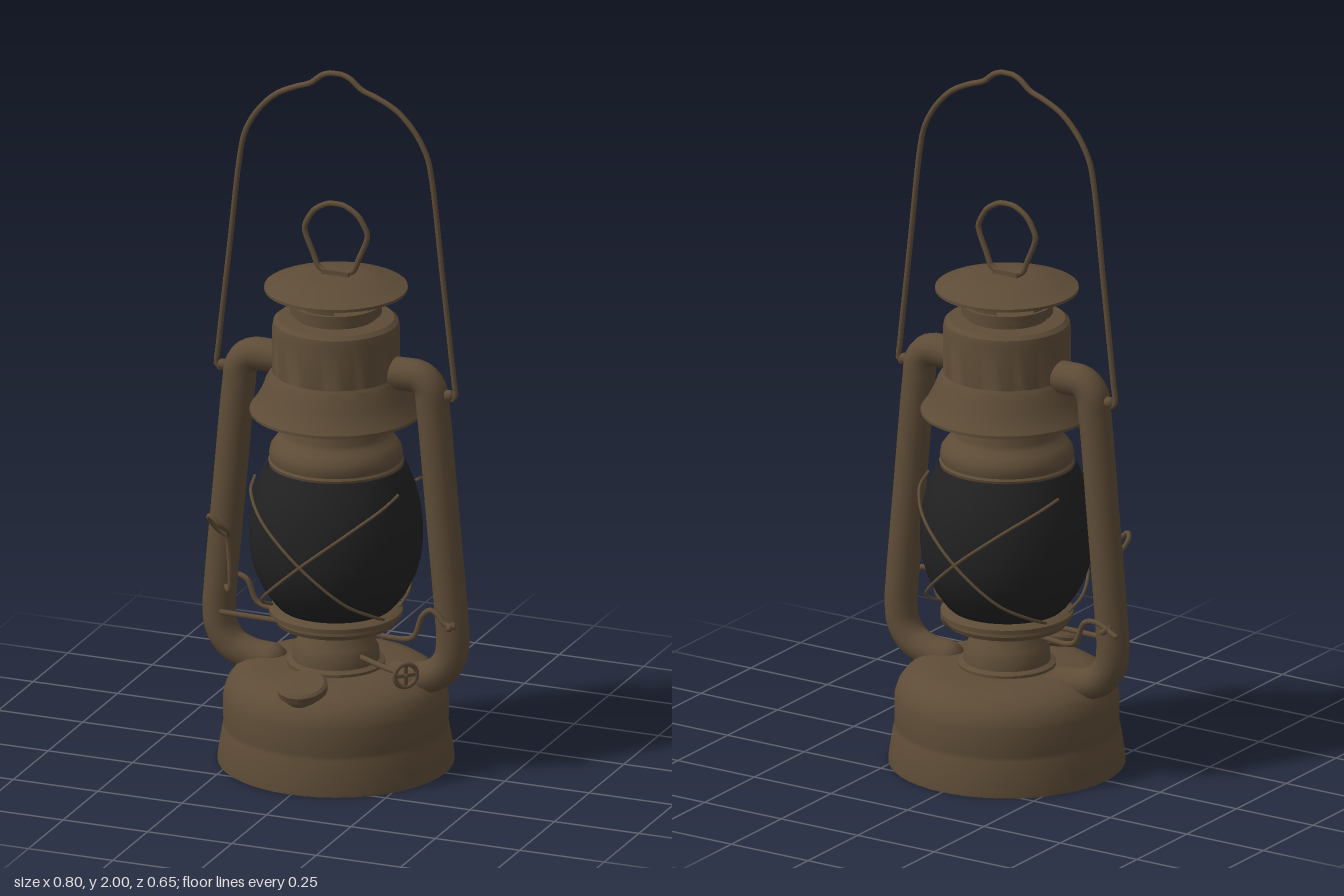
import * as THREE from 'three';
import { toCreasedNormals } from 'three/addons/utils/BufferGeometryUtils.js';

export function createModel() {
  const group = new THREE.Group();
  const metal = new THREE.MeshStandardMaterial({ color: 0x5e4c37, side: THREE.DoubleSide });
  metal.name = 'brown metal';
  const glass = new THREE.MeshStandardMaterial({ color: 0x222222 });
  glass.name = 'smoked glass';

  function add(name, geometry, material = metal, parent = group) {
    const mesh = new THREE.Mesh(geometry, material);
    mesh.name = name;
    parent.add(mesh);
    return mesh;
  }

  // Turned part from [radius, height] pairs, listed from the bottom up on the outside
  function turned(name, profile, material, parent, crease = 0.6) {
    const points = profile.map(([r, y]) => new THREE.Vector2(r, y));
    return add(name, toCreasedNormals(new THREE.LatheGeometry(points, 48), crease), material, parent);
  }

  // Bent round bar with rounded ends
  function bar(name, path, radius, steps = 48, sides = 8, parent = group) {
    const points = path.map((p) => new THREE.Vector3(...p));
    const curve = new THREE.CatmullRomCurve3(points, false, 'centripetal');
    add(name, new THREE.TubeGeometry(curve, steps, radius, sides), metal, parent);
    for (const end of [points[0], points[points.length - 1]]) {
      add(name + 'End', new THREE.SphereGeometry(radius, sides, 6), metal, parent).position.copy(end);
    }
  }

  // Fuel tank with a slightly hollow underside
  turned('fuelTank', [
    [0, 0.02], [0.31, 0.006], [0.315, 0], [0.325, 0], [0.325, 0.012], [0.318, 0.06], [0.311, 0.1],
    [0.307, 0.112], [0.309, 0.12], [0.309, 0.19], [0.305, 0.205], [0.298, 0.225], [0.28, 0.248],
    [0.25, 0.267], [0.21, 0.277], [0.15, 0.28], [0, 0.282],
  ]);

  // Burner cone and plate beneath the globe
  turned('burnerCone', [
    [0.135, 0.275], [0.135, 0.288], [0.12, 0.295], [0.118, 0.325], [0.108, 0.345], [0.09, 0.375],
    [0.082, 0.4], [0.082, 0.42],
  ]);
  turned('burnerPlate', [
    [0.07, 0.4], [0.165, 0.4], [0.17, 0.412], [0.168, 0.42], [0.183, 0.425], [0.183, 0.437],
    [0.165, 0.447], [0, 0.447],
  ]);

  // Globe
  turned('globe', [
    [0.15, 0.44], [0.17, 0.46], [0.198, 0.5], [0.22, 0.545], [0.233, 0.59], [0.239, 0.64],
    [0.238, 0.69], [0.232, 0.74], [0.22, 0.79], [0.203, 0.835], [0.19, 0.865],
  ], glass);

  // Collar above the globe
  turned('globeCollar', [
    [0, 0.858], [0.183, 0.858], [0.186, 0.87], [0.181, 0.876], [0.184, 0.89], [0.18, 0.91],
    [0.165, 0.93], [0.148, 0.943], [0.142, 0.955], [0.142, 1.1],
  ]);

  // Flared hood, closed inside above the skirt
  turned('hood', [
    [0.142, 1.1], [0.168, 1.1], [0.19, 1.07], [0.215, 1.035], [0.232, 1.012], [0.237, 1.012],
    [0.237, 1.02], [0.222, 1.04], [0.203, 1.075], [0.192, 1.105], [0.182, 1.122], [0.176, 1.13],
    [0.176, 1.255], [0.172, 1.274], [0.16, 1.284], [0.125, 1.287], [0, 1.287],
  ]);

  // Vented chimney: lower band, four posts and the cap
  turned('chimneyBand', [[0.112, 1.285], [0.112, 1.295], [0.126, 1.3], [0.126, 1.328], [0.118, 1.33], [0, 1.3]]);
  for (let i = 0; i < 4; i++) {
    add('chimneyPost', new THREE.CylinderGeometry(0.12, 0.12, 0.06, 6, 1, true, i * Math.PI / 2 - 0.34, 0.68))
      .position.y = 1.352;
  }
  turned('chimneyCap', [
    [0, 1.378], [0.12, 1.375], [0.185, 1.366], [0.197, 1.366], [0.197, 1.374], [0.15, 1.388],
    [0.118, 1.4], [0.08, 1.405], [0, 1.409],
  ]);
  add('ringClamp', new THREE.BoxGeometry(0.08, 0.018, 0.025)).position.y = 1.412;

  // Wire ring on the cap
  const half = [[0.035, 1.415], [0.052, 1.425], [0.068, 1.462], [0.09, 1.515], [0.093, 1.535], [0.07, 1.58], [0.055, 1.594], [0.025, 1.61]];
  bar('capRing', [
    ...half.map(([x, y]) => [-x, y, 0]), [0, 1.613, 0], ...half.slice().reverse().map(([x, y]) => [x, y, 0]),
  ], 0.008, 80);

  // Carrying bail with a raised middle
  const bailHalf = [
    [0.3, 1.1], [0.342, 1.088], [0.354, 1.1], [0.35, 1.14], [0.316, 1.44], [0.284, 1.72], [0.27, 1.785],
    [0.235, 1.85], [0.18, 1.907], [0.12, 1.938], [0.075, 1.955], [0.045, 1.98], [0.02, 1.991],
  ];
  bar('carryingBail', [
    ...bailHalf.map(([x, y]) => [-x, y, 0]), [0, 1.992, 0], ...bailHalf.slice().reverse().map(([x, y]) => [x, y, 0]),
  ], 0.008, 140);

  // Side air tubes
  for (const s of [-1, 1]) {
    bar('sideTube', [
      [0.14, 1.142], [0.2, 1.145], [0.25, 1.142], [0.278, 1.115], [0.288, 1.05], [0.315, 0.76],
      [0.342, 0.46], [0.346, 0.39], [0.338, 0.335], [0.305, 0.29], [0.25, 0.267], [0.19, 0.262],
    ].map(([x, y]) => [s * x, y, 0]), 0.046, 80, 16);
    bar('bailEar', [[s * 0.275, 1.1, 0], [s * 0.335, 1.1, 0]], 0.016, 2);
  }

  // Crossed guard wires, front and back
  for (const z of [-1, 1]) {
    for (const x of [-1, 1]) {
      bar('globeGuardWire', [
        [0.212, 0.815, 0.07], [0.195, 0.795, 0.14], [0.125, 0.74, 0.225], [0, 0.64, 0.265],
        [-0.115, 0.535, 0.225], [-0.165, 0.475, 0.13], [-0.165, 0.445, 0.06],
      ].map((p) => [p[0] * x, p[1], p[2] * z]), 0.0045, 48, 6);
    }
  }

  // Globe lifting rod and its bent levers
  bar('liftRod', [
    [-0.32, 0.395, 0.045], [-0.15, 0.395, 0.05], [0.1, 0.395, 0.05], [0.235, 0.395, 0.05], [0.255, 0.41, 0.05],
    [0.275, 0.465, 0.05], [0.3, 0.487, 0.05], [0.325, 0.475, 0.053], [0.345, 0.455, 0.057], [0.372, 0.45, 0.06],
  ], 0.008, 80);
  bar('liftRodStop', [[0.365, 0.45, 0.045], [0.365, 0.45, 0.075]], 0.009, 2);
  bar('rearLever', [
    [-0.12, 0.395, -0.04], [-0.25, 0.4, -0.05], [-0.285, 0.465, -0.05], [-0.325, 0.475, -0.053], [-0.395, 0.45, -0.062],
  ], 0.008);
  bar('rearLeverStop', [[-0.362, 0.46, -0.045], [-0.362, 0.46, -0.075]], 0.009, 2);

  // Looped latch beside the right tube
  bar('latchLoop', [
    [-0.315, 0.47, 0.03], [-0.295, 0.465, 0.055], [-0.292, 0.5, 0.055], [-0.3, 0.62, 0.05], [-0.29, 0.645, 0.075],
    [-0.305, 0.67, 0.1], [-0.33, 0.692, 0.1], [-0.342, 0.68, 0.085], [-0.325, 0.64, 0.06], [-0.3, 0.62, 0.045],
  ], 0.007, 72);

  // Wick adjuster: shaft, wheel rim and spokes
  bar('wickShaft', [[0.07, 0.325, 0.04], [0.18, 0.325, 0.105], [0.267, 0.325, 0.147]], 0.008, 12);
  const wheel = new THREE.Group();
  wheel.name = 'wickWheel';
  wheel.position.set(0.267, 0.325, 0.147);
  wheel.rotation.y = Math.PI / 4;
  add('wheelRim', new THREE.TorusGeometry(0.033, 0.007, 8, 24), metal, wheel);
  for (const a of [0, Math.PI / 2]) {
    add('wheelSpoke', new THREE.BoxGeometry(0.062, 0.01, 0.008), metal, wheel).rotation.z = a;
  }
  group.add(wheel);

  // Tilted filler cap on the front shoulder
  const filler = turned('fillerCap', [
    [0.038, -0.08], [0.04, -0.045], [0.052, -0.035], [0.056, -0.02], [0.068, -0.012], [0.07, 0.008],
    [0.062, 0.015], [0, 0.018],
  ]);
  filler.position.set(0, 0.285, 0.243);
  filler.rotation.x = 0.26;

  return group;
}
